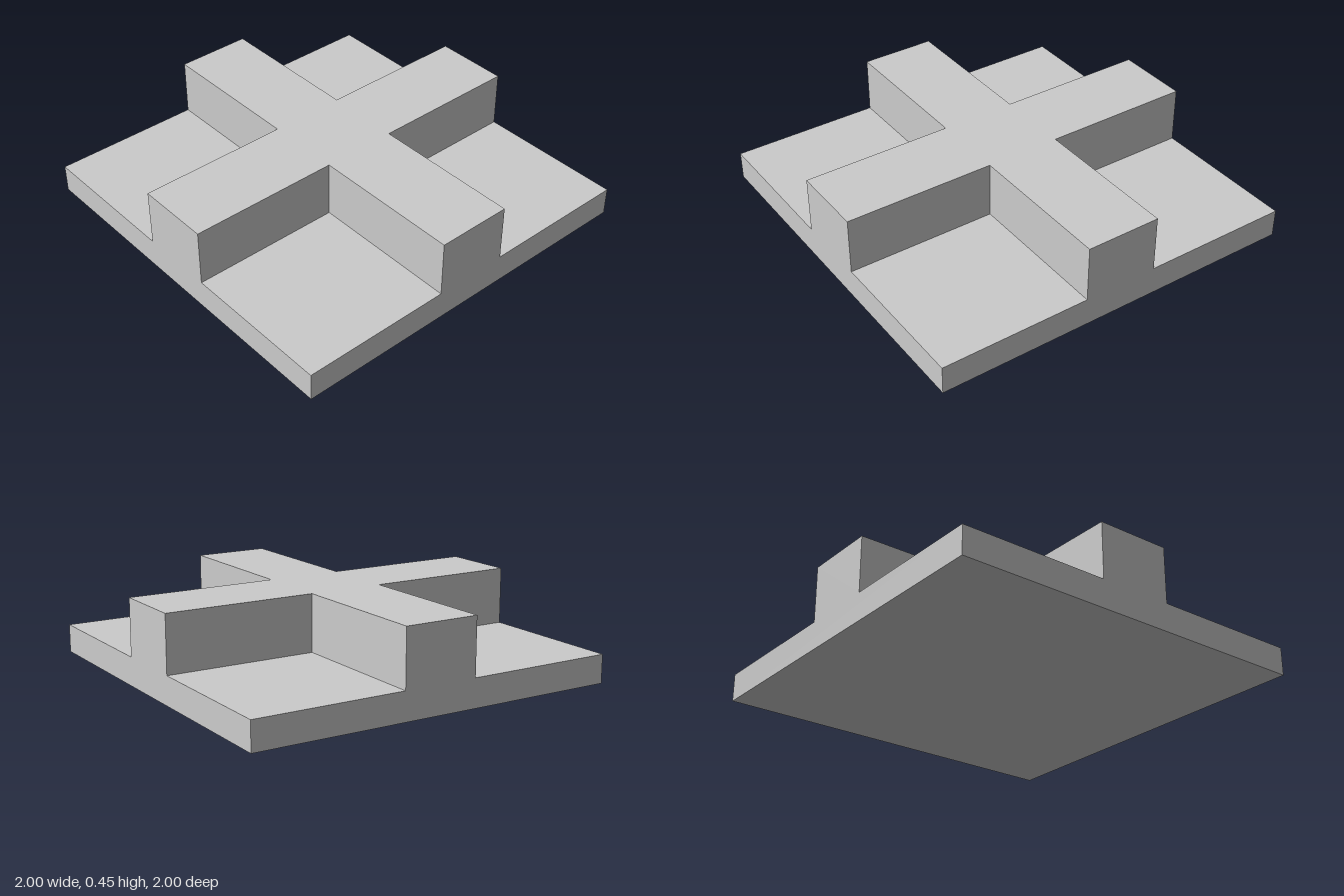
import * as THREE from 'three';

const SIZE = 2;      // side of the square base
const BASE_H = 0.15; // base thickness
const TOP = 0.45;    // top of the raised cross
const ARM = 0.2;     // half width of a cross arm

export function createModel() {
  const group = new THREE.Group();
  group.name = 'crossBlock';
  const material = new THREE.MeshStandardMaterial({ color: 0xcccccc, flatShading: true });

  // Square base plate
  const base = new THREE.Mesh(new THREE.BoxGeometry(SIZE, BASE_H, SIZE), material);
  base.name = 'basePlate';
  base.position.y = BASE_H / 2;
  group.add(base);

  // Raised cross: one arm outline turned around the centre four times
  const points = [];
  for (let i = 0; i < 4; i++) {
    for (const [x, y] of [[SIZE / 2, -ARM], [SIZE / 2, ARM], [ARM, ARM]]) {
      points.push(new THREE.Vector2(x, y).rotateAround(new THREE.Vector2(), i * Math.PI / 2));
    }
  }
  const crossGeometry = new THREE.ExtrudeGeometry(new THREE.Shape(points), {
    depth: TOP - BASE_H,
    bevelEnabled: false,
  });
  crossGeometry.rotateX(-Math.PI / 2);
  const cross = new THREE.Mesh(crossGeometry, material);
  cross.name = 'raisedCross';
  cross.position.y = BASE_H;
  group.add(cross);

  return group;
}
